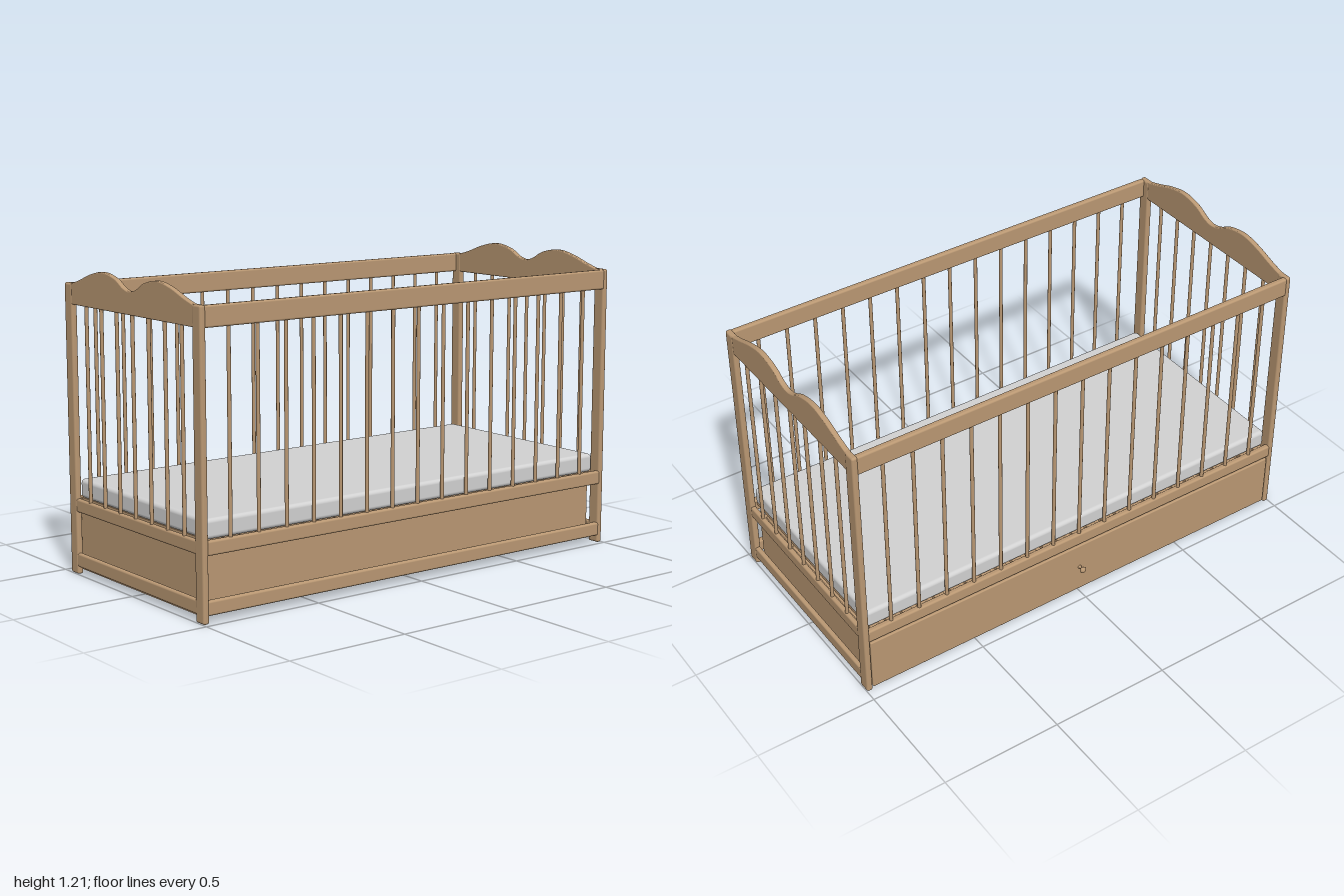
import * as THREE from 'three';
import { RoundedBoxGeometry } from 'three/addons/geometries/RoundedBoxGeometry.js';

export function createModel() {
  const crib = new THREE.Group();
  crib.name = 'crib';
  const wood = new THREE.MeshStandardMaterial({ color: 0xba9873 });
  wood.name = 'wood';
  const fabric = new THREE.MeshStandardMaterial({ color: 0xd2d2d2 });
  fabric.name = 'mattress fabric';

  const X0 = -0.455, X1 = 0.485, MID = (X0 + X1) / 2;
  const POST_W = 0.055, T = 0.025;

  function add(name, geometry, material = wood, parent = crib) {
    const mesh = new THREE.Mesh(geometry, material);
    mesh.name = name;
    parent.add(mesh);
    return mesh;
  }
  // Box given by its limits; r rounds the edges
  function block(name, x0, x1, y0, y1, z0, z1, r = 0, material = wood, parent = crib) {
    const size = [x1 - x0, y1 - y0, z1 - z0];
    const geometry = r ? new RoundedBoxGeometry(...size, 3, r) : new THREE.BoxGeometry(...size);
    const mesh = add(name, geometry, material, parent);
    mesh.position.set((x0 + x1) / 2, (y0 + y1) / 2, (z0 + z1) / 2);
    return mesh;
  }
  function bar(name, x, z, parent) {
    const mesh = add(name, new THREE.CylinderGeometry(0.0075, 0.0075, 0.785, 12), wood, parent);
    mesh.position.set(x, 0.6825, z);
  }

  // Wavy board over each end
  function wavyBoard() {
    const top = [[0.43, 1.147], [0.375, 1.163], [0.29, 1.192], [0.205, 1.207], [0.12, 1.192],
      [0.06, 1.162], [0.015, 1.152], [-0.03, 1.162], [-0.09, 1.192], [-0.175, 1.207],
      [-0.26, 1.192], [-0.345, 1.163], [-0.4, 1.147]];
    const bevel = 0.004;
    const shape = new THREE.Shape();
    shape.moveTo(X0 + POST_W - 0.01, 1.065 + bevel);
    shape.lineTo(X1 - POST_W + 0.01, 1.065 + bevel);
    shape.lineTo(X1 - POST_W + 0.01, 1.147 - bevel);
    shape.lineTo(0.43, 1.147 - bevel);
    shape.splineThru(top.slice(1).map(([x, y]) => new THREE.Vector2(x, y - bevel)));
    shape.lineTo(X0 + POST_W - 0.01, 1.147 - bevel);
    return new THREE.ExtrudeGeometry(shape, {
      depth: 0.021 - 2 * bevel, bevelThickness: bevel, bevelSize: bevel, bevelSegments: 3, curveSegments: 48,
    }).translate(0, 0, -0.0105 + bevel);
  }

  // Two matching ends: posts, boards and bars
  for (const side of [1, -1]) {
    const end = new THREE.Group();
    end.name = side > 0 ? 'frontEnd' : 'backEnd';
    crib.add(end);
    const zc = side * (1 - T / 2);
    const z0 = zc - T / 2, z1 = zc + T / 2;
    block('rightPost', X0, X0 + POST_W, 0, 1.147, z0, z1, 0.009, wood, end);
    block('leftPost', X1 - POST_W, X1, 0, 1.147, z0, z1, 0.009, wood, end);
    add('wavyBoard', wavyBoard(), wood, end).position.z = zc;
    const a = X0 + POST_W - 0.012, b = X1 - POST_W + 0.012;
    block('endRail', a, b, 0.25, 0.303, zc - 0.0105, zc + 0.0105, 0.008, wood, end);
    block('endLowerRail', a, b, 0.03, 0.085, zc - 0.0105, zc + 0.0105, 0.008, wood, end);
    for (let i = -3; i <= 3; i++) bar('endBar', 0.019 + i * 0.11, zc, end);
  }

  // Two long sides: rails and bars
  for (const side of [1, -1]) {
    const group = new THREE.Group();
    group.name = side > 0 ? 'leftSide' : 'rightSide';
    crib.add(group);
    const xc = MID + side * ((X1 - X0) / 2 - 0.0135);
    const x0 = xc - 0.0125, x1 = xc + 0.0125, zl = 0.982;
    block('topRail', x0, x1, 1.065, 1.145, -zl, zl, 0.008, wood, group);
    block('bedRail', x0, x1, 0.25, 0.305, -zl, zl, 0.008, wood, group);
    if (side > 0) block('lowerRail', x0, x1, 0.03, 0.085, -zl, zl, 0.008, wood, group);
    for (let i = -7; i <= 7; i++) bar('sideBar', xc, i * 0.1246, group);
  }

  // Slatted base and mattress
  const slats = new THREE.Group();
  slats.name = 'slats';
  crib.add(slats);
  for (let i = 0; i < 27; i++) {
    const z = -0.936 + i * 0.072;
    block('slat', -0.435, 0.465, 0.28, 0.299, z - 0.021, z + 0.021, 0, wood, slats);
  }
  block('mattress', -0.428, 0.453, 0.3, 0.376, -0.966, 0.966, 0.016, fabric);

  // Open drawer underneath, pulled out from the right side
  const drawer = new THREE.Group();
  drawer.name = 'drawer';
  crib.add(drawer);
  const D = 0.965, W = 0.018;
  block('drawerFront', X0 + 0.002, X0 + 0.024, 0.012, 0.242, -0.972, 0.972, 0.005, wood, drawer);
  block('drawerBack', 0.427 - W, 0.427, 0.012, 0.242, -D, D, 0, wood, drawer);
  block('drawerBottom', X0 + 0.02, 0.427, 0.012, 0.03, -D, D, 0, wood, drawer);
  for (const s of [1, -1]) {
    const z = s * (D - W / 2);
    block('drawerEnd', X0 + 0.02, 0.427, 0.012, 0.242, z - W / 2, z + W / 2, 0, wood, drawer);
  }
  // Turned knob
  const profile = [[0.009, 0], [0.006, 0.004], [0.005, 0.014], [0.011, 0.018], [0.014, 0.024],
    [0.011, 0.03], [0.005, 0.033], [0, 0.0335]].map(([r, h]) => new THREE.Vector2(r, h));
  const knob = add('knob', new THREE.LatheGeometry(profile, 20), wood, drawer);
  knob.rotation.z = Math.PI / 2;
  knob.position.set(X0 + 0.003, 0.13, 0);

  return crib;
}
